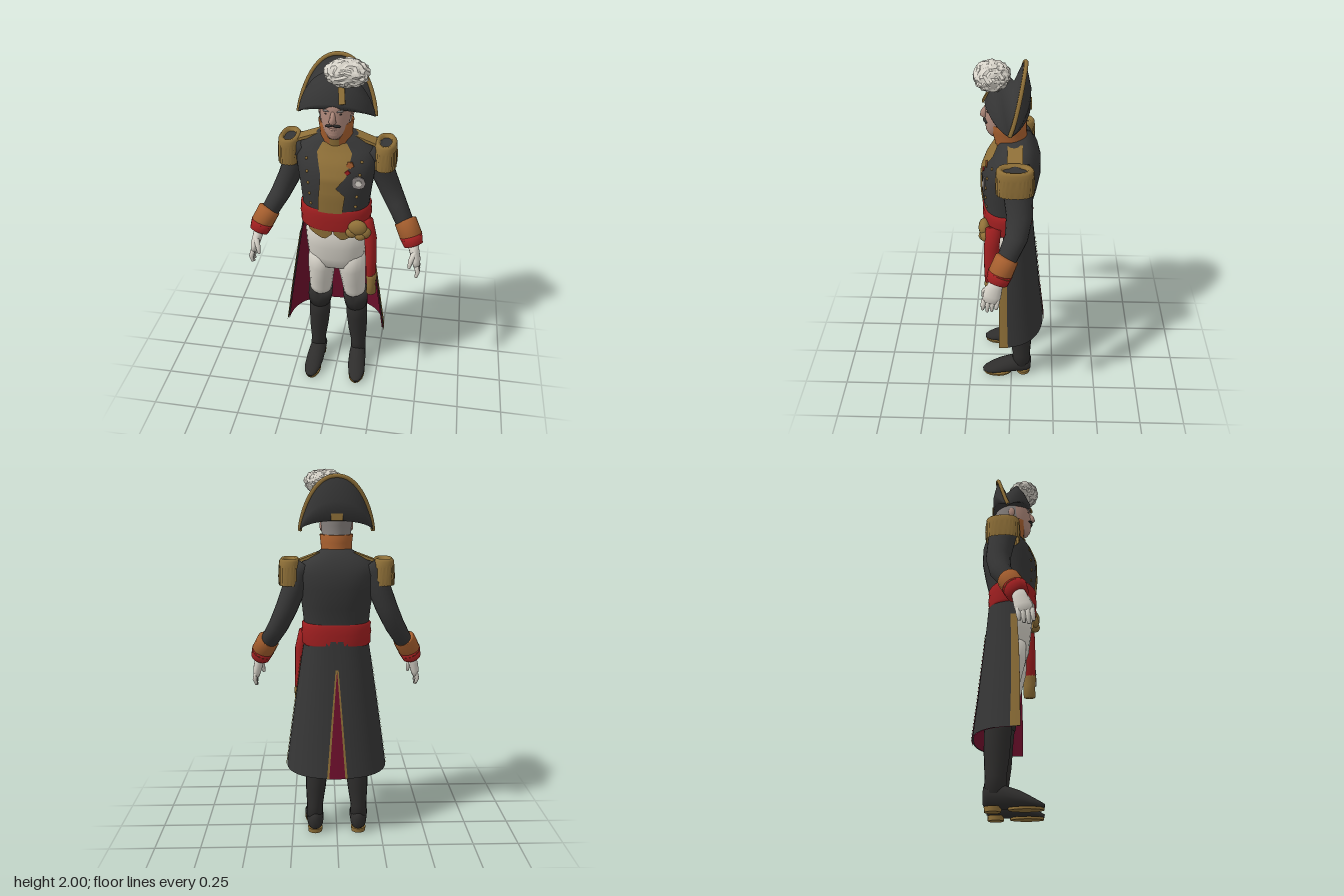
import * as THREE from 'three';

const V = (x, y, z) => new THREE.Vector3(x, y, z);
const mat = (name, color) => Object.assign(new THREE.MeshStandardMaterial({ color, side: THREE.DoubleSide }), { name });

export function createModel() {
  const model = new THREE.Group();
  const black = mat('black cloth', 0x363636), gold = mat('gold braid', 0x8f7038), orange = mat('orange facing', 0xa8602f);
  const red = mat('red sash', 0xa01f20), crimson = mat('crimson lining', 0x6e0f2c), white = mat('off white', 0xd6d2c8);
  const skin = mat('skin', 0xb08a7c), grey = mat('grey hair', 0x8a8481), dark = mat('dark leather', 0x2e2d2c);

  const add = (name, geo, material, pos, scale, rot) => {
    const m = new THREE.Mesh(geo, material);
    m.name = name;
    if (pos) m.position.set(...pos);
    if (scale) m.scale.set(...scale);
    if (rot) m.rotation.set(...rot);
    model.add(m);
    return m;
  };

  // Skin a list of point rings; optionally closed around and capped
  const grid = (rings, closed = false, cap = false) => {
    const w = rings[0].length, pos = [], idx = [];
    rings.forEach(r => r.forEach(p => pos.push(p.x, p.y, p.z)));
    for (let i = 0; i < rings.length - 1; i++) for (let j = 0; j < (closed ? w : w - 1); j++) {
      const a = i * w + j, b = i * w + (j + 1) % w;
      idx.push(a, b, b + w, a, b + w, a + w);
    }
    if (cap) [0, rings.length - 1].forEach(i => {
      const c = rings[i].reduce((s, p) => s.add(p), V(0, 0, 0)).divideScalar(w), k = pos.length / 3;
      pos.push(c.x, c.y, c.z);
      for (let j = 0; j < w; j++) {
        const a = i * w + j, b = i * w + (j + 1) % w;
        i ? idx.push(k, a, b) : idx.push(k, b, a);
      }
    });
    const g = new THREE.BufferGeometry();
    g.setAttribute('position', new THREE.Float32BufferAttribute(pos, 3));
    g.setIndex(idx);
    g.computeVertexNormals();
    return g;
  };

  // Level cross-sections [y, rx, zCentre, rz]; angle 0 is the front
  const pw = (v, n) => Math.sign(v) * Math.abs(v) ** (2 / n);
  const loft = (rows, { n = 2, a0 = 0, a1 = 360, off = 0, cx = 0, segs = 28, ripple = 0, cap = false } = {}) => {
    const full = a1 - a0 === 360;
    return grid(rows.map(([y, rx, zc, rz]) => Array.from({ length: full ? segs : segs + 1 }, (_, j) => {
      const a = THREE.MathUtils.degToRad(a0 + (a1 - a0) * j / segs), o = off + (j % 2 ? ripple : -ripple);
      return V(cx + (rx + o) * pw(Math.sin(a), n), y, zc + (rz + o) * pw(Math.cos(a), n));
    })), full, cap);
  };

  // Depth of a lofted surface at (x, y), and thin panels lying on it
  const depth = (rows, n, x, y, side = 1) => {
    let i = 0;
    while (i < rows.length - 2 && (y - rows[i + 1][0]) * (rows[1][0] - rows[0][0]) > 0) i++;
    const t = (y - rows[i][0]) / (rows[i + 1][0] - rows[i][0]);
    const [rx, zc, rz] = [1, 2, 3].map(k => rows[i][k] + (rows[i + 1][k] - rows[i][k]) * t);
    return zc + side * rz * Math.max(0, 1 - Math.abs(x / rx) ** n) ** (1 / n);
  };
  const panel = (rows, n, edges, side = 1, off = 0.006) => {
    const out = [];
    for (let i = 0; i < edges.length - 1; i++) for (let k = i ? 1 : 0; k <= 5; k++) {
      const [y, l, r] = edges[i].map((v, q) => v + (edges[i + 1][q] - v) * k / 5);
      out.push(Array.from({ length: 11 }, (_, j) => {
        const x = l + (r - l) * j / 10;
        return V(x, y, depth(rows, n, x, y, side) + side * off);
      }));
    }
    return grid(out);
  };

  // Round limb through [x, y, z, ru, rv]
  const limb = (pts, ref = V(0, 0, 1), segs = 16) => {
    const c = pts.map(p => V(p[0], p[1], p[2]));
    return grid(pts.map((p, i) => {
      const t = c[Math.min(i + 1, c.length - 1)].clone().sub(c[Math.max(i - 1, 0)]).normalize();
      const u = ref.clone().cross(t).normalize(), v = t.clone().cross(u);
      return Array.from({ length: segs }, (_, j) => {
        const a = j / segs * Math.PI * 2;
        return c[i].clone().addScaledVector(u, p[3] * Math.cos(a)).addScaledVector(v, (p[4] ?? p[3]) * Math.sin(a));
      });
    }), true, true);
  };
  const tube = (pts, r, segs = 30) => new THREE.TubeGeometry(new THREE.CatmullRomCurve3(pts), segs, r, 6);
  const ball = new THREE.SphereGeometry(1, 14, 10);

  // Coat body, waistcoat and buttons
  const torso = [[1.08, .172, .02, .118], [1.2, .175, .02, .125], [1.3, .185, .013, .142], [1.4, .2, .003, .15],
    [1.47, .212, -.01, .135], [1.52, .195, -.02, .112], [1.56, .14, -.02, .09], [1.6, .07, -.005, .07]];
  add('coatBody', loft(torso, { n: 2.3, segs: 36, cap: true }), black);
  add('waistcoat', panel(torso, 2.3, [[1.2, -.075, .05], [1.31, -.07, .065], [1.355, -.065, .02], [1.42, -.06, .07],
    [1.52, -.085, .09], [1.565, -.06, .06]]), gold);
  for (const s of [1, -1]) for (let i = 0; i < 5; i++) {
    const y = 1.24 + i * .06, x = s * (.115 + i * .006);
    add('button', ball, gold, [x, y, depth(torso, 2.3, x, y)], [.008, .008, .006]);
  }

  // Orders on the chest
  const badge = (name, x, y, r, sides, m) => add(name, new THREE.CylinderGeometry(r, r, .008, sides), m,
    [x, y, depth(torso, 2.3, x, y) + .009], null, [Math.PI / 2, 0, 0]);
  badge('starOrder', .13, 1.385, .036, 8, grey);
  badge('starCentre', .13, 1.385, .016, 8, white).position.z += .005;
  badge('crossOrder', .085, 1.475, .02, 5, orange);
  badge('ribbon', .075, 1.44, .014, 4, red);

  // Coat skirt with lining, front trim and rear vent
  const skirt = [[1.12, .172, .035, .145], [1.0, .192, .05, .17], [.8, .222, .06, .2], [.58, .254, .065, .226], [.37, .283, .065, .25]];
  add('coatSkirt', loft(skirt, { n: 2.4, a0: 90, a1: 270, segs: 36 }), black);
  add('skirtLining', loft(skirt, { n: 2.4, a0: 90, a1: 270, segs: 36, off: -.006 }), crimson);
  for (const a of [90, 262]) add('skirtTrim', loft(skirt.slice(1), { n: 2.4, a0: a, a1: a + 8, segs: 4, off: .004 }), gold);
  add('rearVent', panel(skirt, 2.4, [[.95, -.002, .002], [.37, -.046, .046]], -1, .004), crimson);
  for (const s of [1, -1]) add('ventTrim', panel(skirt, 2.4, [[.97, 0, s * .008], [.37, s * .044, s * .056]], -1, .006), gold);

  // Trousers and waistcoat points
  const hips = [[.8, .135, .005, .08], [.87, .155, .008, .1], [.95, .163, .01, .108], [1.1, .168, .02, .116]];
  add('trouserSeat', loft(hips, { n: 2.3, cap: true }), white);
  for (const s of [1, -1]) add('waistcoatHem', panel(hips, 2.3, [[1.1, s * .001, s * .135], [1.065, s * .005, s * .13], [1.03, s * .04, s * .06]], 1, .008), gold);

  // Sash, knot and hanging end
  add('sash', loft([[1.085, .176, .02, .125], [1.095, .186, .02, .132], [1.135, .185, .02, .129], [1.15, .19, .02, .134],
    [1.175, .186, .02, .13], [1.2, .187, .02, .132], [1.212, .174, .02, .124]], { n: 2.3, segs: 36 }), red);
  [[.13, 1.12, .14, .05, .045, .03], [.165, 1.09, .13, .035, .035, .03], [.1, 1.09, .145, .032, .03, .02], [.145, 1.075, .145, .03, .025, .025]]
    .forEach(k => add('sashKnot', ball, gold, k.slice(0, 3), k.slice(3)));
  add('sashEnd', limb([[.175, 1.14, .09, .03, .04], [.195, 1.04, .1, .033, .04], [.2, .92, .1, .03, .042], [.205, .8, .105, .027, .035]]), red);
  add('sashTassel', limb([[.205, .82, .105, .026, .034], [.207, .79, .105, .03, .038], [.207, .74, .105, .025, .032], [.208, .68, .105, .028, .032]], V(0, 0, 1), 12), gold);

  for (const s of [1, -1]) {
    const L = pts => pts.map(([x, ...r]) => [s * x, ...r]);
    // Legs and boots
    add('trouserLeg', limb(L([[.082, .88, .005, .075, .09], [.085, .78, 0, .078, .09], [.092, .68, -.015, .07, .08], [.097, .61, -.028, .066, .072], [.1, .56, -.035, .062, .068]])), white);
    add('bootShaft', limb(L([[.108, .5, -.04, .062, .068], [.112, .38, -.052, .062, .068], [.118, .27, -.055, .056, .063], [.124, .16, -.06, .045, .052], [.126, .08, -.06, .046, .055]])), dark);
    add('bootTop', limb(L([[.1, .565, -.035, .064, .07], [.101, .575, -.035, .071, .078], [.105, .52, -.038, .071, .077], [.109, .465, -.043, .065, .071]])), dark);
    add('bootFoot', limb(L([[.122, .075, -.118, .026, .045], [.122, .075, -.09, .045, .06], [.125, .07, -.02, .05, .056], [.13, .056, .05, .052, .044],
      [.136, .04, .11, .048, .028], [.139, .029, .15, .034, .017], [.14, .024, .172, .014, .01]]), V(0, 1, 0)), dark);
    add('sole', new THREE.CylinderGeometry(1, 1, .012, 18), gold, [s * .135, .012, .085], [.047, 1, .085]);
    add('heel', new THREE.CylinderGeometry(.042, .04, .025, 14), gold, [s * .123, .0125, -.072]);

    // Sleeve, cuff, gloved hand
    add('sleeve', limb(L([[.17, 1.52, -.02, .05, .07], [.2, 1.48, -.025, .066, .078], [.222, 1.4, -.035, .062, .072], [.265, 1.29, -.045, .058, .066],
      [.312, 1.19, -.03, .053, .058], [.365, 1.1, .015, .047, .05]])), black);
    add('cuff', limb(L([[.366, 1.11, .012, .049, .05], [.368, 1.107, .014, .06, .06], [.408, 1.03, .05, .06, .062]])), orange);
    add('cuffEdge', limb(L([[.402, 1.042, .045, .062, .064], [.42, .995, .062, .052, .056], [.421, .993, .063, .03, .034]])), red);
    add('palm', limb(L([[.415, 1.01, .062, .03, .034], [.428, .965, .075, .026, .04], [.44, .92, .088, .024, .046], [.446, .885, .095, .018, .042]])), white);
    for (let i = 0; i < 4; i++) {
      const z = .061 + i * .023, tip = [.838, .825, .82, .835][i];
      add('finger', limb(L([[.446, .9, z, .013], [.455, .865, z + .004, .012], [.448, tip, z + .007, .008]]), V(0, 0, 1), 8), white);
    }
    add('thumb', limb(L([[.43, .97, .1, .016], [.414, .93, .128, .014], [.408, .89, .137, .008]]), V(0, 0, 1), 8), white);

    // Epaulette
    const cx = s * .245;
    add('epauletteFringe', loft([[1.415, .056, -.022, .09], [1.46, .058, -.022, .093], [1.52, .054, -.022, .09]], { n: 2.6, cx, segs: 56, ripple: .0025 }), gold);
    add('epauletteRim', loft([[1.51, .056, -.022, .092], [1.54, .054, -.022, .09], [1.553, .044, -.022, .08], [1.548, .03, -.022, .062], [1.53, .026, -.022, .056]], { n: 2.4, cx }), gold);
    add('epauletteCentre', new THREE.CylinderGeometry(1, 1, .01, 24), black, [cx, 1.53, -.022], [.03, 1, .062]);
    add('shoulderStrap', new THREE.BoxGeometry(.13, .014, .075), gold, [s * .148, 1.556, -.02], null, [0, 0, -s * .36]);
  }

  // Collar and neckcloth
  add('collar', loft([[1.53, .082, -.005, .082], [1.58, .08, .005, .082], [1.63, .083, .015, .088], [1.67, .088, .018, .092], [1.672, .078, .018, .082], [1.62, .07, .01, .072]], { a0: 17, a1: 343 }), orange);
  add('neckcloth', loft([[1.54, .07, 0, .07], [1.6, .068, .012, .077], [1.635, .06, .015, .075]], { cap: true }), black);
  add('collarFront', loft([[1.545, .076, 0, .08], [1.59, .074, .008, .08]], { a0: -20, a1: 20, segs: 6 }), gold);

  // Head
  const head = [[1.6, .035, .06, .05], [1.62, .046, .055, .068], [1.645, .06, .045, .083], [1.68, .072, .035, .095], [1.72, .077, .03, .098], [1.76, .079, .028, .1], [1.8, .078, .025, .098]];
  add('face', loft(head, { cap: true }), skin);
  add('hair', loft([[1.6, .056, 0, .05], [1.64, .066, .015, .078], ...head.slice(3)], { a0: 82, a1: 278, off: .005 }), grey);
  add('nose', limb([[0, 1.748, .118, .01, .012], [0, 1.72, .132, .014, .018], [0, 1.703, .136, .019, .018], [0, 1.694, .13, .013, .01]], V(0, 0, 1), 8), skin);
  for (const s of [1, -1]) {
    add('moustache', ball, dark, [s * .018, 1.681, .127], [.022, .007, .01], [0, s * .35, -s * .25]);
    add('eyebrow', ball, grey, [s * .033, 1.752, .117], [.018, .005, .008], [0, s * .4, 0]);
    add('eye', ball, dark, [s * .032, 1.736, .113], [.01, .005, .007]);
    add('ear', ball, skin, [s * .079, 1.715, .02], [.009, .028, .018]);
  }
  add('mouth', ball, skin, [0, 1.662, .122], [.02, .008, .01]);
  add('chin', ball, skin, [0, 1.633, .11], [.026, .018, .016]);

  // Two-cornered hat, sections swept from corner to corner
  const arch = u => Math.max(0, 1 - Math.abs(u) ** 2.2) ** .7;
  const brow = u => Math.max(.05, Math.sqrt(1 - u * u));
  const rim = u => V(.19 * u, 1.69 + .275 * arch(u), -.074 * brow(u) + .008);
  const hatRings = Array.from({ length: 33 }, (_, i) => {
    const u = Math.sin((i / 16 - 1) * Math.PI / 2) * .999, f = arch(u), s = brow(u), x = .19 * u;
    return [V(x, 1.685 + .06 * s, -.09 * s), V(x, 1.69 + .15 * f, -.092 * s), rim(u), V(x, 1.688 + .265 * f, -.05 * s),
      V(x, 1.69 + .17 * f, -.01 * s), V(x, 1.69 + .235 * f, .055 * s), V(x, 1.69 + .18 * f, .095 * s), V(x, 1.69 + .1 * f, .13 * s),
      V(x, 1.68 + .08 * s, .118 * s), V(x, 1.685 + .08 * s, 0)];
  });
  add('hat', grid(hatRings, true, true), black);
  add('hatBraid', tube(Array.from({ length: 25 }, (_, i) => rim(Math.sin((i / 12 - 1) * Math.PI / 2))), .011, 60), gold);
  add('hatLoop', new THREE.BoxGeometry(.03, .1, .008), gold, [.04, 1.84, .112], null, [-.5, 0, .12]);
  add('hatBackPatch', new THREE.BoxGeometry(.06, .035, .008), gold, [0, 1.765, -.092]);

  // Ruffled plume
  const plume = new THREE.IcosahedronGeometry(1, 6), p = plume.attributes.position;
  for (let i = 0; i < p.count; i++) {
    const v = V(p.getX(i), p.getY(i), p.getZ(i));
    const h = Math.sin(Math.round(v.x * 500) * 12.99 + Math.round(v.y * 500) * 78.23 + Math.round(v.z * 500) * 37.72) * 43758.5;
    v.multiplyScalar(.9 + .14 * (h - Math.floor(h)));
    p.setXYZ(i, v.x, v.y, v.z);
  }
  plume.computeVertexNormals();
  add('plume', plume, white, [.062, 1.934, .088], [.108, .066, .088]);
  return model;
}
